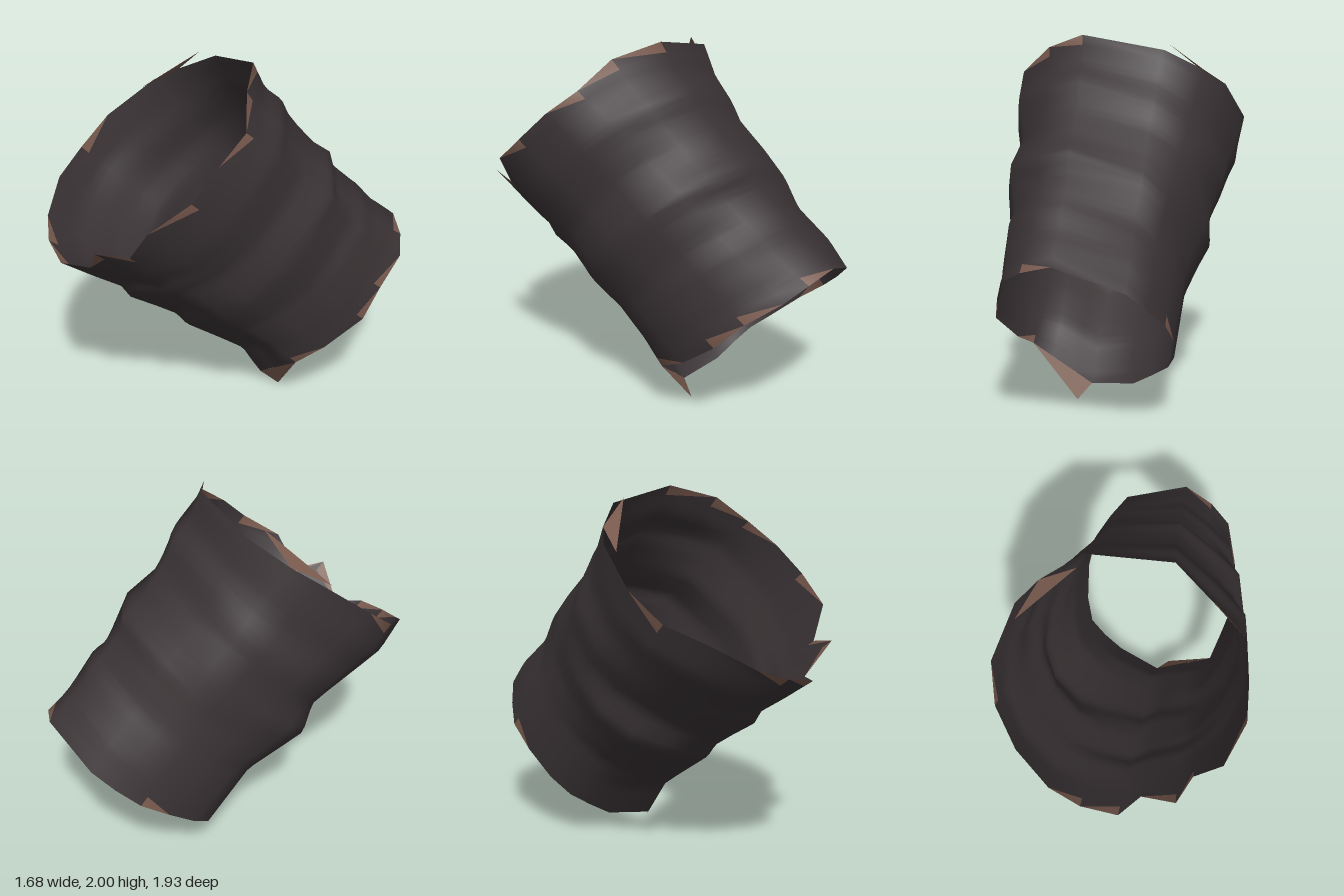
import * as THREE from 'three';

// Ragged rims of the hollow shell, listed in matching order around the axis
const upperRim = [
  [-0.18, 1.92, -0.21], [0.2, 2.0, 0.03], [0.31, 1.93, 0.28], [0.41, 1.79, 0.45], [0.36, 1.66, 0.62],
  [0.3, 1.51, 0.77], [0.13, 1.36, 0.9], [-0.01, 1.18, 0.86], [-0.15, 1.21, 0.96], [-0.29, 1.04, 0.83],
  [-0.44, 1.05, 0.88], [-0.61, 1.09, 0.77], [-0.73, 1.15, 0.63], [-0.82, 1.28, 0.41], [-0.84, 1.38, 0.18],
  [-0.78, 1.53, 0.0], [-0.57, 1.73, -0.17], [-0.42, 1.81, -0.21],
].map((p) => new THREE.Vector3(...p));
const lowerRim = [
  [0.34, 0.8, -0.97], [0.67, 0.93, -0.84], [0.78, 0.88, -0.7], [0.84, 0.81, -0.57], [0.81, 0.68, -0.38],
  [0.78, 0.54, -0.23], [0.62, 0.38, -0.08], [0.5, 0.3, 0.03], [0.4, 0.223, -0.013], [0.3, 0.147, -0.057],
  [0.2, 0.07, -0.1], [0.03, 0.11, -0.3], [-0.04, 0.18, -0.4], [-0.09, 0.25, -0.5], [-0.07, 0.34, -0.62],
  [0.0, 0.48, -0.77], [0.1, 0.6, -0.89], [0.22, 0.7, -0.94],
].map((p) => new THREE.Vector3(...p));
const count = upperRim.length;

// Rim segments whose broken edge shows bare wood
const bareUpper = [1, 2, 3, 5, 7, 8, 10, 11, 14];
const bareLower = [1, 3, 4, 6, 15];

// Fold profile on several sides: [distance down the trunk, depth], at = position around the rim
const folds = [
  { at: 0, profile: [[0, 0], [0.13, -0.04], [0.25, -0.04], [0.33, -0.058], [0.47, -0.032], [0.6, -0.02], [0.72, -0.045], [0.88, 0], [1, 0]] },
  { at: 1.5, profile: [[0, 0], [0.11, -0.045], [0.2, -0.015], [0.26, -0.05], [0.44, -0.06], [0.53, -0.024], [0.59, -0.08], [0.74, -0.036], [0.84, -0.05], [1, 0]] },
  { at: 3, profile: [[0, 0], [0.18, 0.015], [0.35, -0.04], [0.5, 0.018], [0.69, -0.04], [0.75, -0.01], [0.93, -0.02], [1, 0]] },
  { at: 5.5, profile: [[0, 0], [0.2, 0], [0.36, -0.03], [0.52, 0.015], [0.7, -0.02], [0.86, 0], [1, 0]] },
  { at: 9.5, profile: [[0, 0], [0.24, -0.05], [0.3, -0.02], [0.51, -0.066], [0.57, -0.04], [0.86, -0.075], [0.92, -0.04], [1, 0]] },
  { at: 13, profile: [[0, 0], [0.12, 0.035], [0.36, -0.02], [0.42, -0.03], [0.52, 0.04], [0.75, -0.04], [1, 0]] },
  { at: 16, profile: [[0, 0], [0.2, -0.037], [0.31, -0.01], [0.62, -0.07], [0.75, -0.05], [1, 0]] },
];

const ease = (t) => t * t * (3 - 2 * t);

function depthAlong(profile, u) {
  let k = 0;
  while (k < profile.length - 2 && u > profile[k + 1][0]) k++;
  const [u0, d0] = profile[k], [u1, d1] = profile[k + 1];
  return THREE.MathUtils.lerp(d0, d1, (u - u0) / (u1 - u0));
}

function foldAt(j, u) {
  let k = folds.length - 1;
  while (folds[k].at > j) k--;
  const a = folds[k], b = folds[(k + 1) % folds.length];
  const end = b.at > a.at ? b.at : b.at + count;
  const t = ease((j - a.at) / (end - a.at));
  return THREE.MathUtils.lerp(depthAlong(a.profile, u), depthAlong(b.profile, u), t);
}

const topCentre = new THREE.Vector3(-0.2, 1.5, 0.35);
const bottomCentre = new THREE.Vector3(0.38, 0.5, -0.45);
const axis = topCentre.clone().sub(bottomCentre).normalize();

// Rim with its notches evened out along the axis, used for the body between the rims
function evened(rim) {
  const h = rim.map((p) => p.dot(axis));
  return rim.map((p, j) => {
    const around = (h[(j + count - 1) % count] + h[(j + 1) % count]) / 2;
    return p.clone().addScaledVector(axis, (around - h[j]) * 0.6);
  });
}

// Shell: sections run from the upper rim to the lower one, with uneven folds
function shellGeometry() {
  const steps = 32, edge = 0.04;
  const us = [0];
  for (let i = 0; i <= steps; i++) us.push(edge + (1 - 2 * edge) * i / steps);
  us.push(1);
  const upperEven = evened(upperRim), lowerEven = evened(lowerRim);
  const positions = [];
  for (const u of us) {
    const centre = topCentre.clone().lerp(bottomCentre, u);
    const body = ease(Math.min(1, u / 0.2, (1 - u) / 0.2));
    for (let j = 0; j < count; j++) {
      const p = upperRim[j].clone().lerp(lowerRim[j], u);
      p.lerp(upperEven[j].clone().lerp(lowerEven[j], u), body);
      const out = p.clone().sub(centre);
      out.addScaledVector(axis, -out.dot(axis)).normalize();
      p.addScaledVector(out, foldAt(j, u));
      positions.push(p.x, p.y, p.z);
    }
  }
  // Bare wood takes only the triangle that touches the rim, giving jagged chips
  const dark = [], bare = [];
  const last = us.length - 2;
  for (let i = 0; i <= last; i++) {
    for (let j = 0; j < count; j++) {
      const a = i * count + j, b = i * count + (j + 1) % count;
      (i === 0 && bareUpper.includes(j) ? bare : dark).push(a, b, a + count);
      (i === last && bareLower.includes(j) ? bare : dark).push(b, b + count, a + count);
    }
  }
  const g = new THREE.BufferGeometry();
  g.setAttribute('position', new THREE.Float32BufferAttribute(positions, 3));
  g.setIndex([...dark, ...bare]);
  g.addGroup(0, dark.length, 0);
  g.addGroup(dark.length, bare.length, 1);
  g.computeVertexNormals();
  return g;
}

// Loose three-cornered splinter
function splinter(name, corners, material) {
  const g = new THREE.BufferGeometry().setFromPoints(corners.map((p) => new THREE.Vector3(...p)));
  g.computeVertexNormals();
  const mesh = new THREE.Mesh(g, material);
  mesh.name = name;
  return mesh;
}

export function createModel() {
  const bark = new THREE.MeshStandardMaterial({ color: 0x3a3335, side: THREE.DoubleSide });
  bark.name = 'dark bark';
  const wood = new THREE.MeshStandardMaterial({ color: 0x78594d, side: THREE.DoubleSide });
  wood.name = 'bare wood';

  const model = new THREE.Group();
  model.name = 'hollowLog';
  const shell = new THREE.Mesh(shellGeometry(), [bark, wood]);
  shell.name = 'barkShell';
  model.add(shell);
  model.add(splinter('upperSplinter', [[-0.6, 1.7, -0.1], [-0.42, 1.81, -0.21], [-0.24, 1.95, -0.14]], wood));
  model.add(splinter('lowerSplinter', [[0.5, 0.3, 0.03], [0.2, 0.07, -0.1], [0.3, 0.0, -0.14]], wood));
  return model;
}
